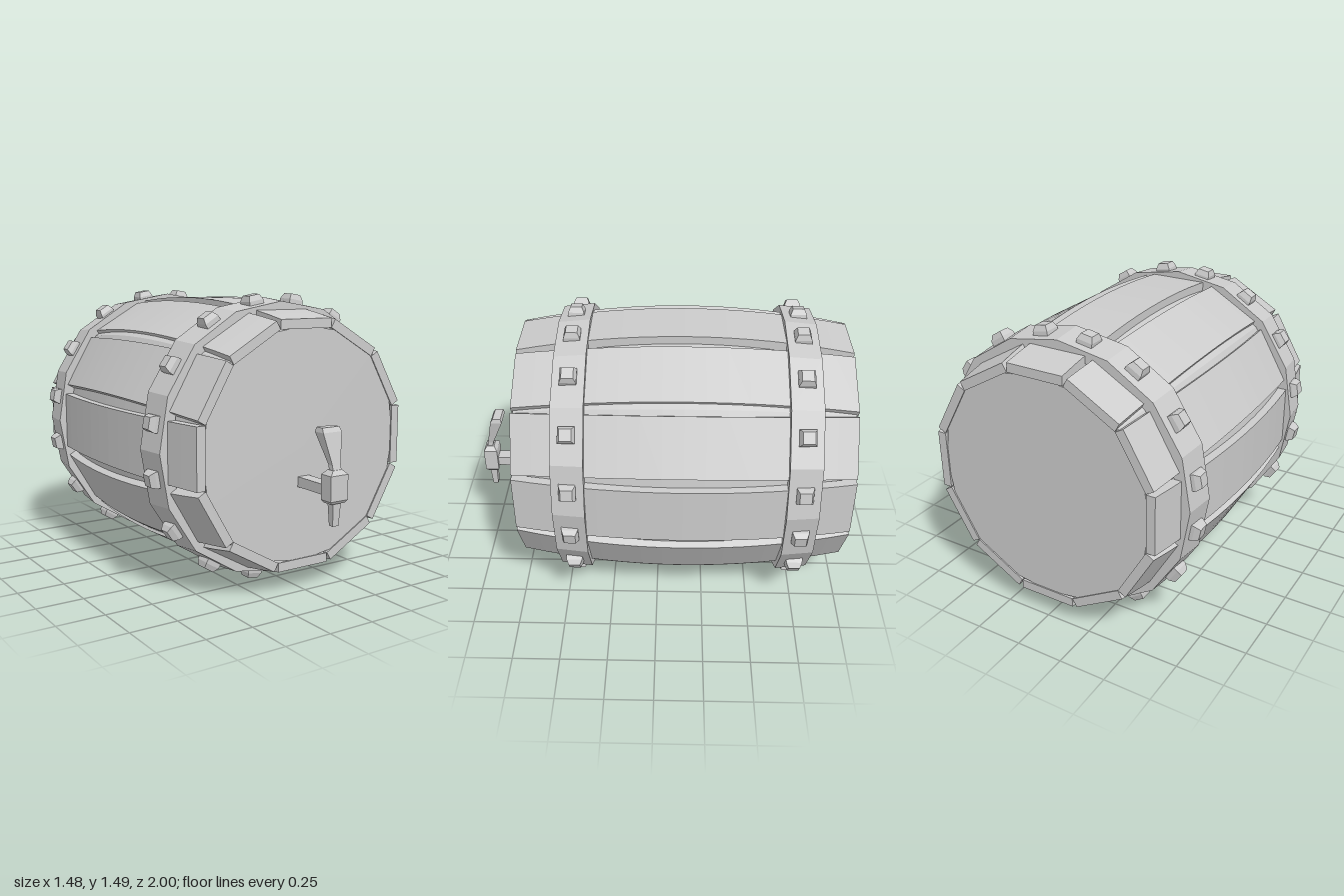
import * as THREE from 'three';

const CY = 0.745, CZ = -0.135, HALF = 0.865;
const material = new THREE.MeshStandardMaterial({ color: 0xcccccc, flatShading: true });

// Distance from the axis at local z, from the end radius and the belly's swell
const bulge = (z, end, swell) => end + swell * (1 - (z / HALF) ** 2);

// Skin a list of equal-length point rings, with both ends capped
function loft(rings) {
  const pos = [];
  const tri = (...pts) => pts.forEach(p => pos.push(...p));
  const n = rings[0].length;
  for (let i = 0; i < rings.length - 1; i++) {
    for (let j = 0; j < n; j++) {
      const k = (j + 1) % n, A = rings[i], B = rings[i + 1];
      tri(A[j], A[k], B[k]);
      tri(A[j], B[k], B[j]);
    }
  }
  const first = rings[0], last = rings[rings.length - 1];
  for (let j = 1; j < n - 1; j++) {
    tri(first[0], first[j + 1], first[j]);
    tri(last[0], last[j], last[j + 1]);
  }
  const g = new THREE.BufferGeometry();
  g.setAttribute('position', new THREE.Float32BufferAttribute(pos, 3));
  g.computeVertexNormals();
  return g;
}

// Upright tapering block from sections [y, z centre, half width, half depth]
const block = sections => loft(sections.map(([y, z, w, d]) =>
  [[w, y, z + d], [w, y, z - d], [-w, y, z - d], [-w, y, z + d]]));

function add(parent, name, geometry) {
  const mesh = new THREE.Mesh(geometry, material);
  mesh.name = name;
  parent.add(mesh);
  return mesh;
}

// Sixteen-sided turned shape around the z axis, pushed out a little on the diagonals
function turned(points, push) {
  const g = new THREE.LatheGeometry(points.map(([r, z]) => new THREE.Vector2(r, z)), 16);
  g.rotateX(Math.PI / 2);
  const p = g.attributes.position;
  for (let i = 0; i < p.count; i++) {
    const x = p.getX(i), y = p.getY(i);
    const s = 1 + push * Math.sin(2 * Math.atan2(y, x)) ** 2;
    p.setXY(i, x * s, y * s);
  }
  g.computeVertexNormals();
  return g;
}

export function createModel() {
  const model = new THREE.Group();
  model.name = 'barrel';
  const cask = new THREE.Group();
  cask.name = 'cask';
  cask.position.set(0, CY, CZ);
  model.add(cask);

  // Twelve bowed staves of constant width, so the gaps widen at the belly
  const steps = 16, w = 0.155;
  const staveRings = [];
  for (let i = 0; i <= steps; i++) {
    const z = -HALF + (2 * HALF * i) / steps, r = bulge(z, 0.63, 0.087);
    staveRings.push([[w, r - 0.048, z], [w, r, z], [-w, r, z], [-w, r - 0.048, z]]);
  }
  const staveGeometry = loft(staveRings);
  for (let i = 0; i < 12; i++) {
    add(cask, 'stave', staveGeometry).rotation.z = (i * Math.PI) / 6;
  }

  // Inner body behind the gaps, with slightly recessed flat heads
  const end = HALF - 0.008;
  const profile = [[0, -end]];
  for (let i = 0; i <= steps; i++) {
    const z = -end + (2 * end * i) / steps;
    profile.push([bulge(z, 0.594, 0.104), z]);
  }
  profile.push([0, end]);
  add(cask, 'innerBodyAndHeads', turned(profile, 0.04));

  // Two hoops, each with a ring of tapered studs
  const studGeometry = block([[-0.03, 0, 0.043, 0.044], [0, 0, 0.042, 0.042], [0.028, 0, 0.03, 0.03]]);
  const studs = [[11, 0.722], [34.6, 0.735], [58, 0.735], [80, 0.724]]
    .flatMap(([a, r]) => [a, -a, 180 - a, a - 180].map(angle => [angle, r]));
  for (const side of [1, -1]) {
    const hoop = new THREE.Group();
    hoop.name = side > 0 ? 'frontHoop' : 'backHoop';
    hoop.position.z = side * 0.5875 - 0.0125;
    cask.add(hoop);
    const rear = side > 0 ? 0.727 : 0.71, front = side > 0 ? 0.71 : 0.727;
    add(hoop, 'hoopBand', turned(
      [[0.65, -0.083], [rear, -0.083], [front, 0.083], [0.65, 0.083], [0.65, -0.083]], 0.02));
    for (const [angle, r] of studs) {
      const a = THREE.MathUtils.degToRad(angle);
      const stud = add(hoop, 'stud', studGeometry);
      stud.position.set(r * Math.cos(a), r * Math.sin(a), 0);
      stud.rotation.z = a - Math.PI / 2;
    }
  }

  // Tap on the front head
  const tap = new THREE.Group();
  tap.name = 'tap';
  model.add(tap);
  add(tap, 'tapPipe', new THREE.BoxGeometry(0.07, 0.052, 0.24).translate(0, 0.564, 0.83));
  add(tap, 'tapBody', block([
    [0.505, 0.963, 0.042, 0.027], [0.52, 0.963, 0.053, 0.037],
    [0.645, 0.963, 0.053, 0.037], [0.668, 0.963, 0.028, 0.02]]));
  add(tap, 'tapSpout', block([[0.39, 0.963, 0.018, 0.014], [0.51, 0.963, 0.025, 0.02]]));
  add(tap, 'tapHandle', block([
    [0.655, 0.968, 0.027, 0.015], [0.69, 0.96, 0.025, 0.015],
    [0.845, 0.909, 0.057, 0.032], [0.868, 0.905, 0.052, 0.022]]));
  return model;
}
